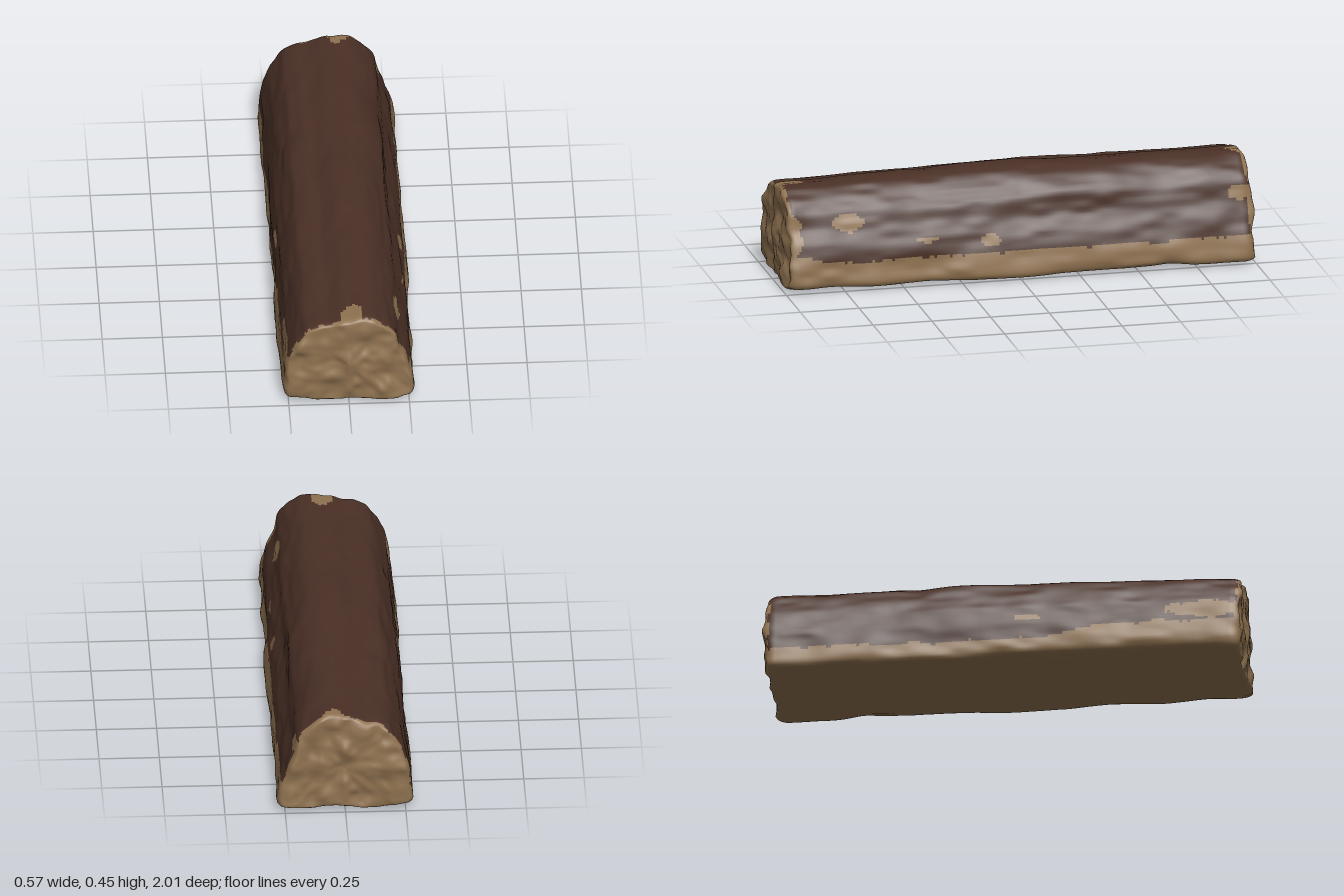
import * as THREE from 'three';

// Smooth value noise, 0..1
const hash = (x, y, z) => {
  let h = Math.imul(x, 374761393) ^ Math.imul(y, 668265263) ^ Math.imul(z, 1274126177);
  h = Math.imul(h ^ (h >>> 13), 1103515245);
  return ((h ^ (h >>> 16)) >>> 0) / 4294967295;
};
function noise(x, y, z) {
  const c = [x, y, z].map(Math.floor);
  const f = [x, y, z].map((v, i) => { const t = v - c[i]; return t * t * (3 - 2 * t); });
  let sum = 0;
  for (let k = 0; k < 8; k++) {
    const o = [k & 1, (k >> 1) & 1, k >> 2];
    const w = o.reduce((p, b, i) => p * (b ? f[i] : 1 - f[i]), 1);
    sum += w * hash(c[0] + o[0], c[1] + o[1], c[2] + o[2]);
  }
  return sum;
}

// Cross-section of the split log, counter-clockwise seen from the front
const PROFILE = [
  [-0.268, 0.022], [-0.13, 0.004], [0, 0.01], [0.13, 0.004], [0.27, 0.018], [0.285, 0.05],
  [0.272, 0.13], [0.252, 0.2], [0.222, 0.27], [0.205, 0.34], [0.165, 0.395], [0.11, 0.437],
  [0.06, 0.451], [-0.02, 0.443], [-0.085, 0.415], [-0.13, 0.415], [-0.185, 0.39],
  [-0.222, 0.33], [-0.252, 0.26], [-0.272, 0.17], [-0.285, 0.06],
];

// Bare spots in the bark: side (0 = top), z, y (or x on top), half sizes
const BARE = [
  [1, 0.74, 0.285, 0.075, 0.035], [1, 0.13, 0.185, 0.045, 0.03], [1, 0.4, 0.2, 0.04, 0.01],
  [1, -0.94, 0.3, 0.045, 0.03], [1, 0.98, 0.25, 0.05, 0.1],
  [-1, 0.85, 0.2, 0.16, 0.035], [-1, 0.1, 0.2, 0.05, 0.018],
  [0, 0.95, 0.01, 0.08, 0.05], [0, -0.96, 0.05, 0.04, 0.05],
];

function isBark(x, y, z) {
  const n = noise(x * 25 + 7, y * 25, z * 14) - 0.5;
  const fine = noise(x * 70, y * 70, z * 60) - 0.5;
  if (Math.abs(z) > 0.972 + n * 0.025 + fine * 0.008) return false;
  let edge = x > 0 ? 0.13 : 0.1;
  if (x > 0) edge += 0.03 * THREE.MathUtils.smoothstep(z, 0.75, 0.95);
  else edge += 0.05 * THREE.MathUtils.smoothstep(z, 0.1, 0.5);
  if (y < edge + n * 0.025 + fine * 0.012) return false;
  return !BARE.some(([side, pz, p, rz, rp]) => {
    if (side ? side * x < 0.1 : y < 0.36) return false;
    return Math.hypot((z - pz) / rz, ((side ? y : x) - p) / rp) < 1 + n * 0.7 + fine * 0.3;
  });
}

// Rows along the log: [z, scale of the section, share of end-face bumps]
function makeRows() {
  const end = [];
  for (let i = 0; i <= 14; i++) end.push([1, 0.93 * i / 14, 1]);
  end.push([0.994, 0.955, 0.8], [0.984, 0.975, 0.5], [0.97, 0.99, 0.2]);
  const rows = end.map(([z, s, e]) => [-z, s, e]);
  for (let i = 0; i <= 180; i++) rows.push([-0.955 + 1.91 * i / 180, 1, 0]);
  return rows.concat(end.reverse());
}

export function createModel() {
  const bark = new THREE.MeshStandardMaterial({ color: 0x4a3026 });
  bark.name = 'darkBark';
  const wood = new THREE.MeshStandardMaterial({ color: 0x8f7250 });
  wood.name = 'bareWood';

  const curve = new THREE.CatmullRomCurve3(
    PROFILE.map(([x, y]) => new THREE.Vector3(x, y, 0)), true, 'catmullrom', 0.3);
  const N = 130;
  const section = curve.getSpacedPoints(N).slice(0, N);
  const rows = makeRows();
  const cy = 0.2;

  // Rough lofted surface with lumps, chips and slight taper to the front
  const pos = [];
  for (const [z, s, e] of rows) {
    const taper = THREE.MathUtils.clamp(z, 0, 1);
    for (const p of section) {
      const lump = noise(p.x * 11 + 3, p.y * 11, z * 5 + 40);
      const chip = noise(p.x * 28, p.y * 28 + 9, z * 11 + 80);
      const k = s * (1 - 0.06 * lump - 0.03 * chip + 0.025);
      const x = p.x * k * (1 - 0.015 * taper);
      const y = cy + (p.y - cy) * k * (p.y > cy ? 1 - 0.1 * taper : 1);
      const bump = 0.03 * noise(x * 14 + 5, y * 14, z * 3) + 0.012 * noise(x * 30, y * 30 + 5, z * 3);
      pos.push(x, Math.max(y, 0), z - Math.sign(z) * e * (bump - 0.008));
    }
  }

  // Sort the faces into bark and wood
  const all = [], barkFaces = [], woodFaces = [];
  for (let i = 0; i < rows.length - 1; i++) {
    for (let j = 0; j < N; j++) {
      const a = i * N + j, b = i * N + (j + 1) % N, c = b + N, d = a + N;
      const mid = [0, 1, 2].map((q) => (pos[a * 3 + q] + pos[c * 3 + q]) / 2);
      const onEnd = rows[i][1] < 0.95 || rows[i + 1][1] < 0.95;
      const list = !onEnd && isBark(...mid) ? barkFaces : woodFaces;
      list.push(a, b, c, a, c, d);
      all.push(a, b, c, a, c, d);
    }
  }

  // Shared normals keep the surface smooth across the colour boundary
  const whole = new THREE.BufferGeometry();
  whole.setAttribute('position', new THREE.Float32BufferAttribute(pos, 3));
  whole.setIndex(all);
  whole.computeVertexNormals();

  const group = new THREE.Group();
  group.name = 'splitLog';
  for (const [name, faces, material] of [['barkCovering', barkFaces, bark], ['woodCore', woodFaces, wood]]) {
    const geometry = whole.clone();
    geometry.setIndex(faces);
    const mesh = new THREE.Mesh(geometry, material);
    mesh.name = name;
    group.add(mesh);
  }
  return group;
}
